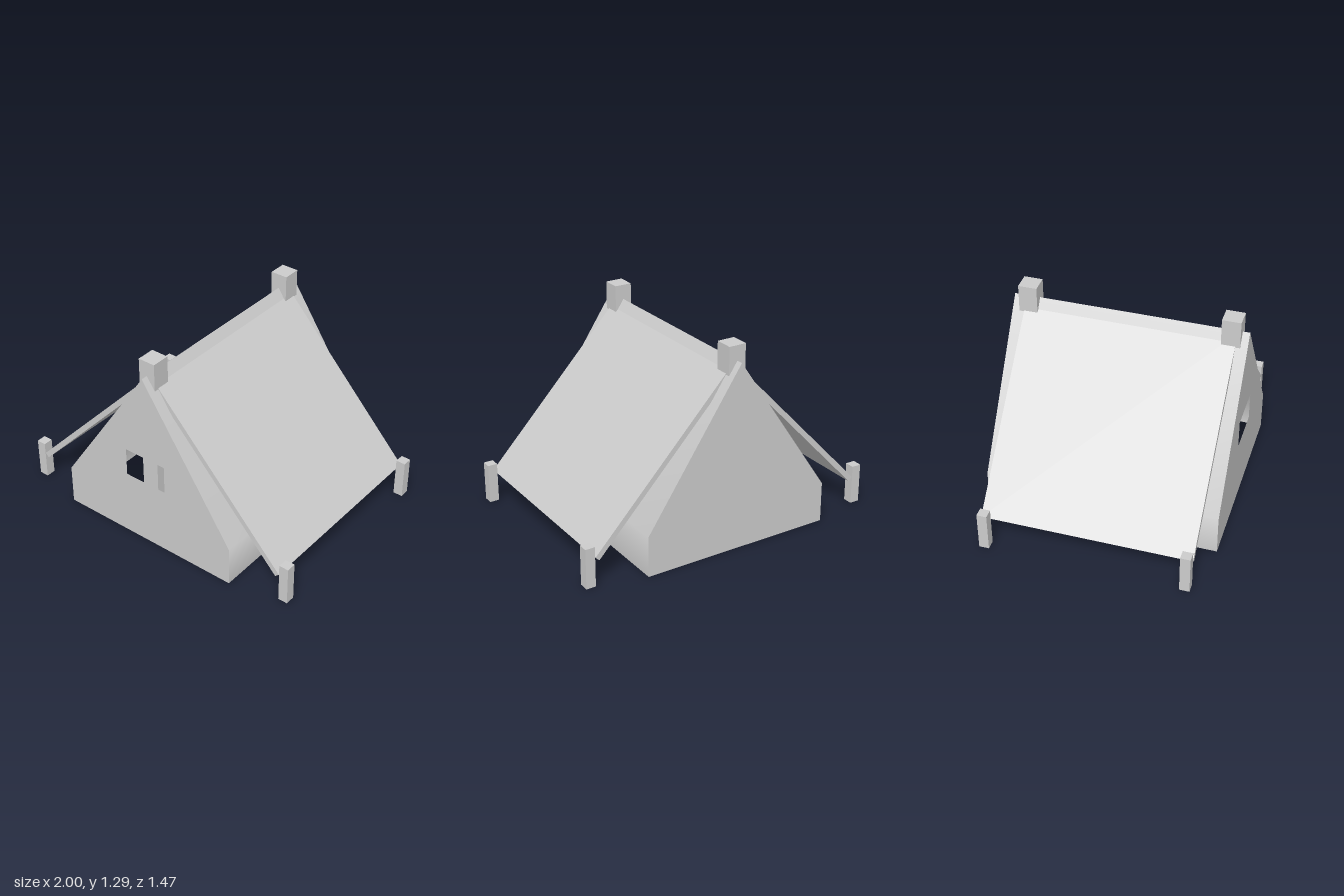
import * as THREE from 'three';

export function createModel() {
  const tent = new THREE.Group();
  tent.name = 'tent';

  const grey = new THREE.MeshStandardMaterial({ color: 0xcccccc, side: THREE.DoubleSide });
  grey.name = 'grey canvas';

  const add = (name, geometry, x = 0, y = 0, z = 0) => {
    const mesh = new THREE.Mesh(geometry, grey);
    mesh.name = name;
    mesh.position.set(x, y, z);
    tent.add(mesh);
    return mesh;
  };
  const outline = (pts) => new THREE.Shape(pts.map(([x, y]) => new THREE.Vector2(x, y)));

  const halfDepth = 0.735;
  const halfWidth = 0.63;
  const eave = 0.26;
  const ridge = 1.195;

  // Gable walls; only the front one has a window opening
  const gable = () => outline([
    [-halfWidth, 0], [halfWidth, 0], [halfWidth, eave], [0, ridge], [-halfWidth, eave],
  ]);
  const front = gable();
  front.holes.push(outline([[-0.15, 0.445], [-0.15, 0.63], [0.145, 0.63], [0.145, 0.445]]));
  add('frontWall', new THREE.ShapeGeometry(front), 0, 0, halfDepth);
  add('backWall', new THREE.ShapeGeometry(gable()), 0, 0, -halfDepth).rotation.y = Math.PI;

  // Side wall and roof as one sheet, shaded smoothly over the eave
  const positions = [];
  for (const [x, y] of [[halfWidth, 0], [halfWidth, eave], [0, ridge]]) {
    positions.push(x, y, halfDepth, x, y, -halfDepth);
  }
  const sheet = new THREE.BufferGeometry();
  sheet.setAttribute('position', new THREE.Float32BufferAttribute(positions, 3));
  sheet.setIndex([0, 1, 3, 0, 3, 2, 2, 3, 5, 2, 5, 4]);
  sheet.computeVertexNormals();
  add('leftCanvas', sheet);
  add('rightCanvas', sheet).rotation.y = Math.PI;

  // Flysheet: a thin slab on each side, sloping out to the stakes
  const flyDepth = 1.32;
  const fly = new THREE.ExtrudeGeometry(
    outline([[0, 1.177], [0, 1.128], [0.911, 0.163], [0.936, 0.187]]),
    { depth: flyDepth, bevelEnabled: false },
  );
  fly.translate(0, 0, -flyDepth / 2);
  add('leftFlysheet', fly);
  add('rightFlysheet', fly).rotation.y = Math.PI;

  // Two ridge poles and four corner stakes
  const pole = new THREE.BoxGeometry(0.113, 1.29, 0.117);
  const stake = new THREE.BoxGeometry(0.062, 0.257, 0.063);
  for (const z of [1, -1]) {
    const end = z > 0 ? 'front' : 'back';
    add(`${end}Pole`, pole, 0, 0.645, z * 0.632);
    for (const x of [1, -1]) {
      add(`${end}${x > 0 ? 'Left' : 'Right'}Stake`, stake, x * 0.969, 0.1285, z * 0.6285);
    }
  }
  return tent;
}
